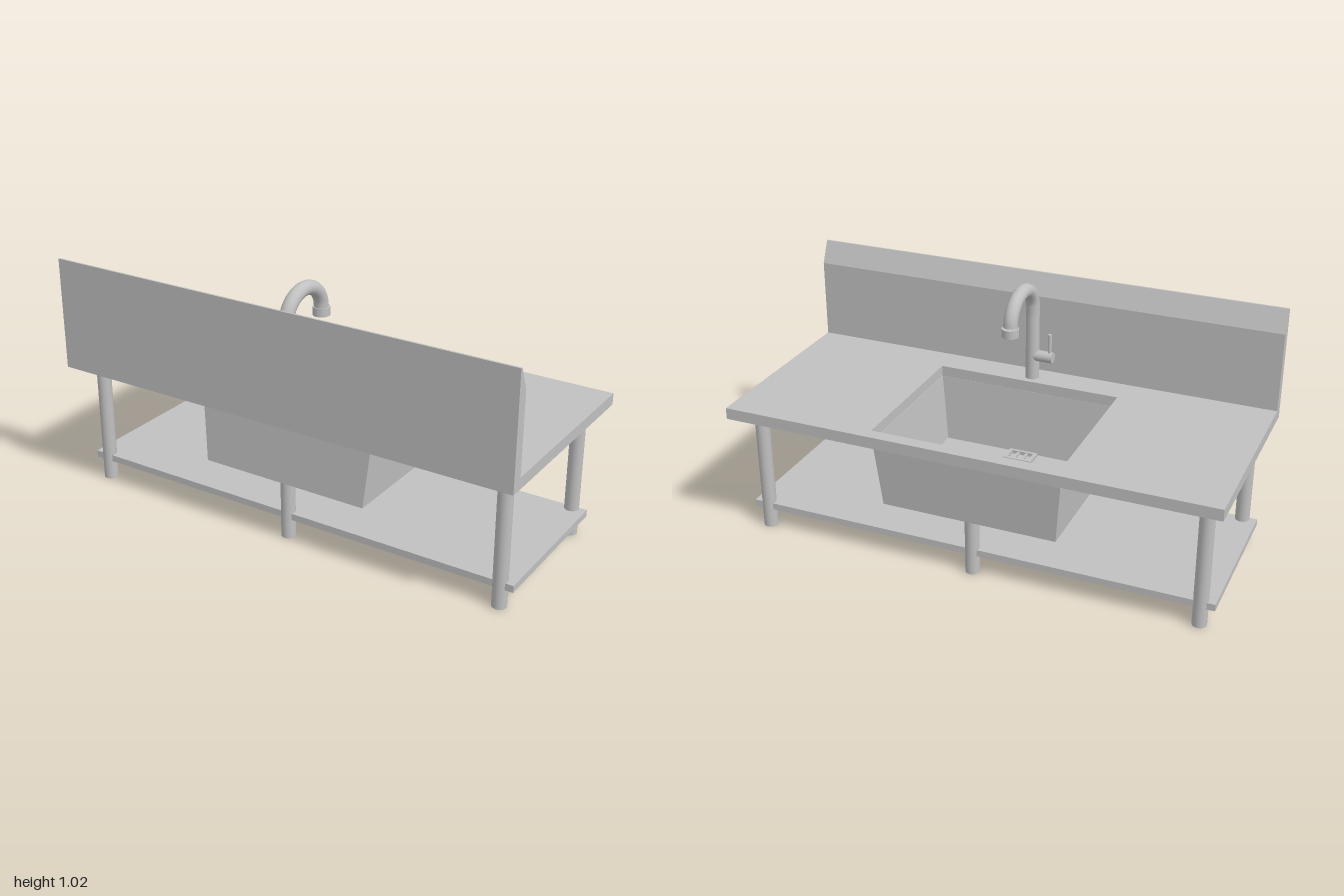
import * as THREE from 'three';

const steel = new THREE.MeshStandardMaterial({ color: 0xc0c0c0 });
steel.name = 'brushed steel';

function add(parent, name, geometry, x = 0, y = 0, z = 0) {
  const mesh = new THREE.Mesh(geometry, steel);
  mesh.name = name;
  mesh.position.set(x, y, z);
  parent.add(mesh);
  return mesh;
}

const rectPoints = (w, z0, z1) => [[-w, z1], [w, z1], [w, z0], [-w, z0]];

// Flat-faced surface through rectangular rings [y, halfWidth, zBack, zFront]
function loftRects(rings) {
  const pos = [];
  for (let r = 0; r < rings.length - 1; r++) {
    const [a, b] = [rings[r], rings[r + 1]].map(([y, w, z0, z1]) =>
      rectPoints(w, z0, z1).map(([x, z]) => [x, y, z]));
    for (let i = 0; i < 4; i++) {
      const j = (i + 1) % 4;
      pos.push(...a[i], ...a[j], ...b[j], ...a[i], ...b[j], ...b[i]);
    }
  }
  const geo = new THREE.BufferGeometry();
  geo.setAttribute('position', new THREE.Float32BufferAttribute(pos, 3));
  geo.computeVertexNormals();
  return geo;
}

export function createModel() {
  const model = new THREE.Group();
  model.name = 'sinkTable';

  // Worktop with the sink opening cut through it
  const toShape = (pts, Type) => new Type(pts.map(([x, z]) => new THREE.Vector2(x, -z)));
  const top = toShape(rectPoints(1, -0.43, 0.43), THREE.Shape);
  top.holes.push(toShape(rectPoints(0.385, -0.377, 0.257), THREE.Path));
  const topGeo = new THREE.ExtrudeGeometry(top, { depth: 0.047, bevelEnabled: false });
  topGeo.rotateX(-Math.PI / 2);
  add(model, 'worktop', topGeo, 0, 0.528, 0);

  // Splashback with a sloped upper edge, extruded along the width
  const profile = new THREE.Shape([
    [-0.43, 0.575], [-0.382, 0.575], [-0.382, 0.9], [-0.422, 0.99], [-0.43, 0.99],
  ].map(([u, v]) => new THREE.Vector2(u, v)).reverse());
  const splashGeo = new THREE.ExtrudeGeometry(profile, { depth: 2, bevelEnabled: false });
  splashGeo.translate(0, 0, -1).rotateY(Math.PI / 2);
  add(model, 'splashback', splashGeo);

  // Tapered basin: underside, outer walls, inner walls and floor
  add(model, 'basin', loftRects([
    [0.245, 0, 0, 0],
    [0.245, 0.36, -0.353, 0.347],
    [0.53, 0.385, -0.376, 0.325],
    [0.53, 0.383, -0.375, 0.256],
    [0.255, 0.352, -0.35, 0.232],
    [0.255, 0, 0, 0],
  ]));

  // Square drain: raised frame with a grate
  const drain = new THREE.Group();
  drain.name = 'drain';
  drain.position.set(0, 0.262, 0.182);
  model.add(drain);
  for (const s of [-1, 1]) {
    add(drain, 'drainFrameSide', new THREE.BoxGeometry(0.014, 0.016, 0.08), s * 0.053, 0, 0);
    add(drain, 'drainFrameEnd', new THREE.BoxGeometry(0.12, 0.016, 0.012), 0, 0, s * 0.034);
    add(drain, 'drainBar', new THREE.BoxGeometry(0.01, 0.01, 0.06), s * 0.018, 0, 0);
  }

  // Legs; the middle pair stops under the basin
  for (const x of [-0.917, 0, 0.917]) {
    for (const z of [-0.31, 0.31]) {
      const h = x === 0 ? 0.246 : 0.53;
      add(model, 'leg', new THREE.CylinderGeometry(0.029, 0.029, h, 24), x, h / 2, z);
    }
  }

  // Lower shelf
  add(model, 'shelf', new THREE.BoxGeometry(1.95, 0.028, 0.65), 0, 0.095, 0);

  // Gooseneck tap
  const tap = new THREE.Group();
  tap.name = 'tap';
  model.add(tap);
  add(tap, 'tapPost', new THREE.CylinderGeometry(0.0275, 0.0285, 0.305, 24), 0, 0.7225, 0.308);
  const neck = [new THREE.Vector3(0, 0.86, 0.308)];
  for (let i = 0; i <= 12; i++) {
    const a = (Math.PI * i) / 12;
    neck.push(new THREE.Vector3(0, 0.885 + 0.104 * Math.sin(a), 0.189 + 0.117 * Math.cos(a)));
  }
  add(tap, 'tapNeck',
    new THREE.TubeGeometry(new THREE.CatmullRomCurve3(neck), 40, 0.0285, 20));
  add(tap, 'tapNozzle', new THREE.CylinderGeometry(0.034, 0.034, 0.034, 24), 0, 0.866, 0.071);

  // Side valve and upright lever
  const valveGeo = new THREE.CylinderGeometry(0.023, 0.023, 0.09, 20);
  valveGeo.rotateZ(Math.PI / 2);
  add(tap, 'tapValve', valveGeo, -0.045, 0.675, 0.305);
  add(tap, 'tapLever', new THREE.CylinderGeometry(0.008, 0.008, 0.09, 12), -0.076, 0.73, 0.305);

  return model;
}
